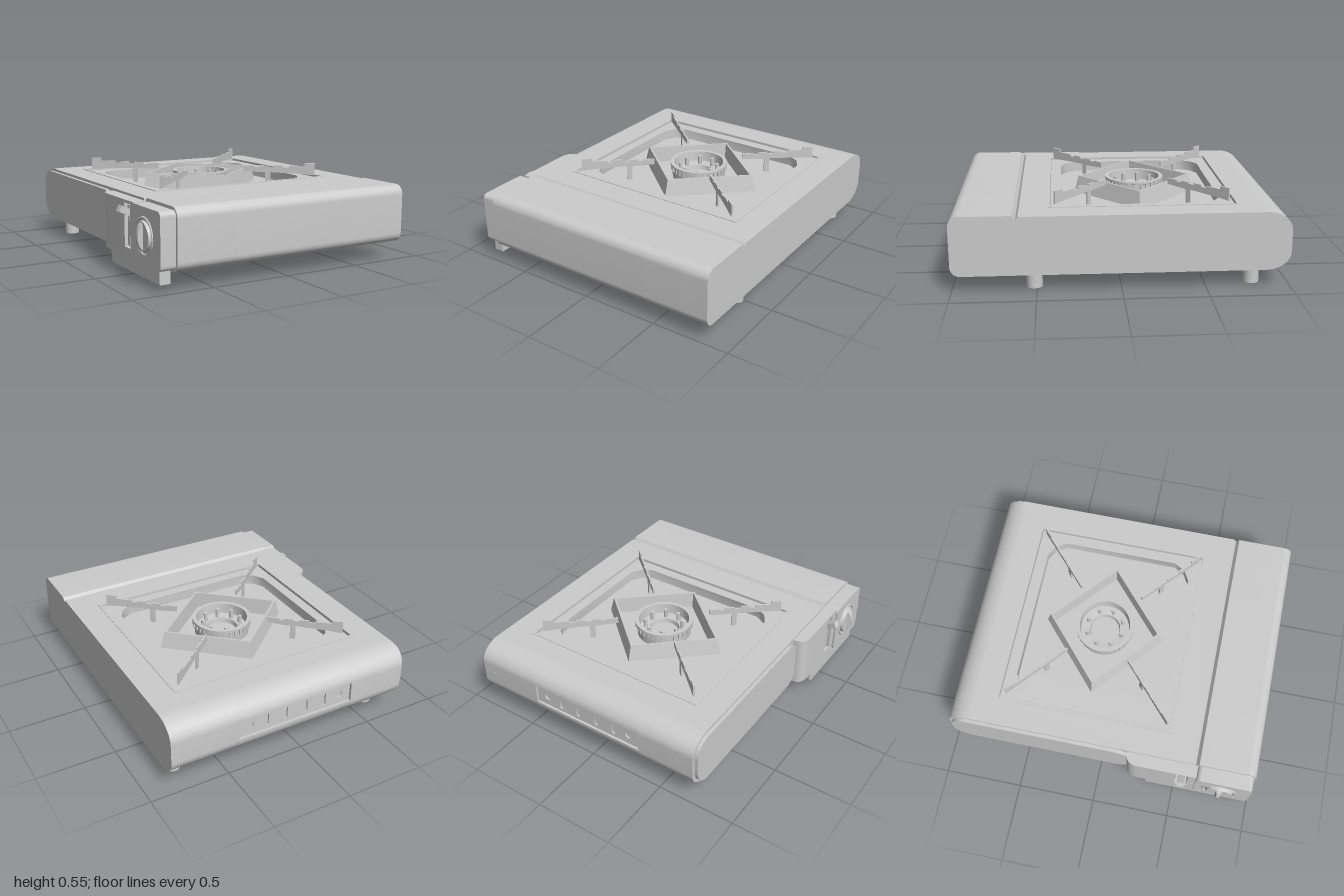
import * as THREE from 'three';
import { toCreasedNormals } from 'three/addons/utils/BufferGeometryUtils.js';

const MAT = new THREE.MeshStandardMaterial({ color: 0xcccccc, side: THREE.DoubleSide });
const CX = 0.065, CZ = -0.135; // burner centre
const FLOOR = 0.385;           // bottom of the drip pan

export function createModel() {
  const root = new THREE.Group();

  function add(name, geo, parent = root) {
    const mesh = new THREE.Mesh(toCreasedNormals(geo, 0.6), MAT);
    mesh.name = name;
    parent.add(mesh);
    return mesh;
  }
  const poly = (pts) => new THREE.Shape(pts.map(([a, b]) => new THREE.Vector2(a, b)));
  const extrude = (shape, depth) =>
    new THREE.ExtrudeGeometry(shape, { depth, bevelEnabled: false, curveSegments: 10 });
  // Shape drawn in (-z, y), swept along x
  const alongX = (shape, x0, x1) => extrude(shape, x1 - x0).rotateY(Math.PI / 2).translate(x0, 0, 0);
  // Shape drawn in (x, -z), swept along y
  const alongY = (shape, y0, y1) => extrude(shape, y1 - y0).rotateX(-Math.PI / 2).translate(0, y0, 0);
  const box = (x0, x1, y0, y1, z0, z1) =>
    new THREE.BoxGeometry(x1 - x0, y1 - y0, z1 - z0).translate((x0 + x1) / 2, (y0 + y1) / 2, (z0 + z1) / 2);
  function roundRect(a0, b0, a1, b1, r) {
    const s = new THREE.Shape(), h = Math.PI / 2;
    s.absarc(a1 - r, b0 + r, r, -h, 0);
    s.absarc(a1 - r, b1 - r, r, 0, h);
    s.absarc(a0 + r, b1 - r, r, h, 2 * h);
    s.absarc(a0 + r, b0 + r, r, 2 * h, 3 * h);
    s.closePath();
    return s;
  }

  // Side profile of the case, optionally with the pan well and the rear vent pocket
  function profile(pan, vent) {
    const s = new THREE.Shape(), h = Math.PI / 2;
    s.moveTo(-0.94, 0.105);
    s.lineTo(0.85, 0.105);
    s.absellipse(0.85, 0.215, 0.15, 0.11, -h, 0);
    if (vent) [[1, 0.22], [0.965, 0.22], [0.965, 0.345], [1, 0.345]].forEach((p) => s.lineTo(...p));
    s.absellipse(0.85, 0.347, 0.15, 0.115, 0, h);
    if (pan) [[0.71, 0.462], [0.71, FLOOR], [-0.425, FLOOR], [-0.425, 0.462]].forEach((p) => s.lineTo(...p));
    [[-0.6, 0.462], [-0.615, 0.442], [-0.635, 0.468]].forEach((p) => s.lineTo(...p));
    s.lineTo(-0.94, 0.468);
    s.absellipse(-0.94, 0.408, 0.06, 0.06, h, 2 * h);
    s.absellipse(-0.94, 0.165, 0.06, 0.06, 2 * h, 3 * h);
    return s;
  }
  const body = new THREE.Group();
  body.name = 'case';
  root.add(body);
  [[-0.73, -0.56, false, false], [-0.56, -0.35, true, false], [-0.35, 0.43, true, true],
    [0.43, 0.69, true, false], [0.69, 0.865, false, false]].forEach(([x0, x1, pan, vent]) =>
    add('caseSection', alongX(profile(pan, vent), x0, x1), body));

  // Drip pan with a chamfered opening, and the lip around it
  const pan = poly([[-0.545, -0.41], [0.675, -0.41], [0.675, 0.695], [-0.545, 0.695]]);
  const [a0, a1, b0, b1, c] = [-0.48, 0.61, -0.345, 0.625, 0.11];
  const opening = [[a0 + c, b0], [a1 - c, b0], [a1 - 0.04, b0 + 0.04], [a1, b0 + c], [a1, b1 - c], [a1 - 0.04, b1 - 0.04],
    [a1 - c, b1], [a0 + c, b1], [a0 + 0.04, b1 - 0.04], [a0, b1 - c], [a0, b0 + c], [a0 + 0.04, b0 + 0.04]];
  pan.holes.push(poly(opening));
  add('dripPan', alongY(pan, FLOOR, 0.452));
  const lip = poly([[-0.565, -0.43], [0.695, -0.43], [0.695, 0.715], [-0.565, 0.715]]);
  lip.holes.push(poly([[-0.55, -0.415], [0.68, -0.415], [0.68, 0.7], [-0.55, 0.7]]));
  add('panLip', alongY(lip, FLOOR, 0.466));

  // Diamond wind shield
  const ring = (pts, n) => new THREE.LatheGeometry(pts.map(([r, y]) => new THREE.Vector2(r, y)), n);
  const shield = add('windShield',
    ring([[1, FLOOR], [0.93, 0.492], [0.89, 0.492], [0.86, FLOOR]], 4).scale(0.443, 1, 0.393));
  shield.position.set(CX, 0, CZ);

  // Burner cup with teeth outside and pins inside
  const burner = new THREE.Group();
  burner.name = 'burner';
  burner.position.set(CX, 0, CZ);
  root.add(burner);
  add('burnerCup', ring([[0.175, FLOOR], [0.18, 0.47], [0.19, 0.475], [0.19, 0.488], [0.165, 0.488],
    [0.16, 0.42], [0.1, 0.415], [0.095, FLOOR]], 40), burner);
  for (let i = 0; i < 32; i++) {
    const t = i / 32 * Math.PI * 2;
    add('burnerTooth', new THREE.BoxGeometry(0.014, 0.035, 0.014).rotateY(-t)
      .translate(0.181 * Math.cos(t), 0.457, 0.181 * Math.sin(t)), burner);
  }
  for (let i = 0; i < 8; i++) {
    const t = (i + 0.35) / 8 * Math.PI * 2;
    add('burnerPin', new THREE.CylinderGeometry(0.013, 0.013, 0.06, 12)
      .translate(0.122 * Math.cos(t), 0.445, 0.122 * Math.sin(t)), burner);
  }

  // Four notched pan supports on the diagonals
  const support = poly([[0.3, 0.487], [0.43, 0.48], [0.45, 0.48], [0.45, FLOOR], [0.485, FLOOR], [0.485, 0.483],
    [0.7, 0.476], [0.783, 0.47], [0.783, 0.55], [0.715, 0.55], [0.715, 0.53], [0.61, 0.53], [0.61, 0.518],
    [0.57, 0.518], [0.57, 0.53], [0.51, 0.53], [0.51, 0.518], [0.47, 0.518], [0.47, 0.527], [0.41, 0.527],
    [0.41, 0.516], [0.375, 0.516], [0.375, 0.524], [0.3, 0.524]]);
  for (const sx of [-1, 1]) for (const sz of [-1, 1]) {
    const m = add('panSupport', extrude(support, 0.012).translate(0, 0, -0.006));
    m.position.set(CX, 0, CZ);
    m.rotation.y = -Math.atan2(sz * 0.525, sx * 0.58);
  }

  // Feet
  for (const x of [-0.63, 0.76]) for (const z of [0.515, -0.785])
    add('foot', new THREE.CylinderGeometry(0.048, 0.048, 0.11, 24).translate(x, 0.055, z));

  // Raised side cover behind the controls
  add('sideCover', alongX(roundRect(-0.2, 0.125, 0.98, 0.445, 0.11), -0.752, -0.73));

  // Control housing: swept lead-in, slotted middle, knob box
  const lead = new THREE.Shape();
  lead.moveTo(-0.73, -0.175);
  lead.lineTo(-0.76, -0.178);
  lead.quadraticCurveTo(-0.808, -0.19, -0.81, -0.25);
  lead.lineTo(-0.81, -0.48);
  lead.lineTo(-0.73, -0.48);
  add('housingLeadIn', alongY(lead, 0.115, 0.448));
  const middle = poly([[-0.63, 0.115], [-0.48, 0.115], [-0.48, 0.448], [-0.63, 0.448]]);
  middle.holes.push(poly([[-0.58, 0.17], [-0.505, 0.17], [-0.505, 0.43], [-0.58, 0.43]]));
  add('leverHousing', alongX(middle, -0.81, -0.73));
  add('knobBox', alongX(roundRect(-0.985, 0.12, -0.63, 0.45, 0.03), -0.825, -0.73));
  add('lowerTray', alongX(poly([[-0.945, 0.04], [-0.33, 0.04], [-0.315, 0.06], [-0.315, 0.12], [-0.945, 0.12]]),
    -0.81, -0.745));

  // Ignition knob: bezel, dial and tapered half-round grip
  const knob = new THREE.Group();
  knob.name = 'knob';
  knob.position.set(-0.82, 0.285, 0.79);
  root.add(knob);
  add('knobBezel', new THREE.TorusGeometry(0.105, 0.008, 8, 40).rotateY(Math.PI / 2).translate(-0.004, 0, 0), knob);
  add('knobDial', new THREE.CylinderGeometry(0.085, 0.09, 0.02, 40).rotateZ(Math.PI / 2).translate(-0.012, 0, 0), knob);
  const half = new THREE.Shape();
  half.absellipse(0, 0, 0.05, 0.085, Math.PI / 2, Math.PI * 1.5);
  half.closePath();
  const grip = extrude(half, 0.04).translate(0, 0, -0.02);
  const p = grip.attributes.position;
  for (let i = 0; i < p.count; i++) p.setZ(i, p.getZ(i) * (1.4 + p.getX(i) * 18));
  grip.computeVertexNormals();
  add('knobGrip', grip, knob);

  // Locking lever in the slot, with a tilted finger tab
  add('leverStem', box(-0.8, -0.73, 0.18, 0.42, 0.53, 0.555));
  const tab = add('leverTab', new THREE.BoxGeometry(0.1, 0.04, 0.045));
  tab.position.set(-0.815, 0.385, 0.54);
  tab.rotation.z = -0.45;

  // Rear vent plate with four slots and two screw holes
  const vent = poly([[-0.35, 0.22], [0.43, 0.22], [0.43, 0.345], [-0.35, 0.345]]);
  for (const d of [-0.2, -0.07, 0.07, 0.2])
    vent.holes.push(roundRect(0.04 + d - 0.013, 0.24, 0.04 + d + 0.013, 0.325, 0.0125));
  for (const d of [-0.31, 0.31])
    vent.holes.push(new THREE.Shape().absarc(0.04 + d, 0.283, 0.022, 0, Math.PI * 2));
  add('ventPlate', extrude(vent, 0.01).translate(0, 0, -0.985));
  for (const x of [-0.64, 0.78])
    add('rearScrew', new THREE.CylinderGeometry(0.01, 0.01, 0.006, 12).rotateX(Math.PI / 2).translate(x, 0.285, -0.999));

  return root;
}
